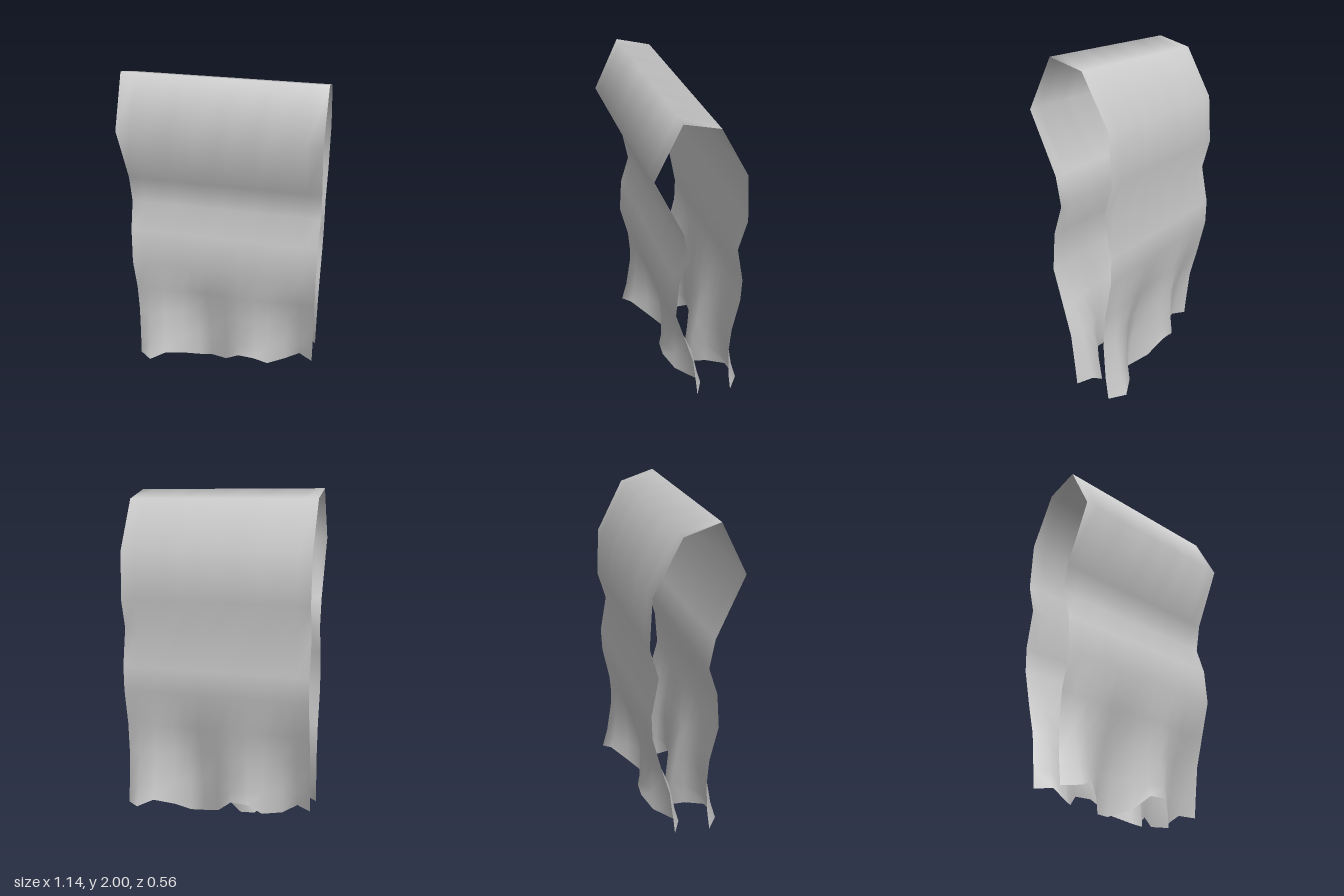
import * as THREE from 'three';

// Lower front edge of the cloth, left to right: [x, y, z]
const HEM = [
  [-0.568, 0.065, 0.13], [-0.485, 0.07, 0.2], [-0.39, 0.11, 0.163], [-0.28, 0.06, 0.075],
  [-0.2, 0, -0.005], [-0.115, 0, -0.02], [0, 0.045, 0.055], [0.095, 0.13, 0.11],
  [0.2, 0.13, 0.12], [0.28, 0.06, 0.065], [0.385, 0.04, -0.035], [0.48, 0.1, -0.035], [0.568, 0.09, 0.017],
];

// Rows between hem and straight cloth: [y, base z, share of the hem's ripple]
const RIPPLES = [[0.2, 0.016, 0.74], [0.4, 0.045, 0.43], [0.58, 0.1, 0.1]];

// Straight part of the loop, front to back over the top: [y, z]
const LOOP = [
  [0.8, 0.163], [1.02, 0.146], [1.19, 0.092], [1.36, 0.123], [1.71, 0.28], [2, 0.133],
  [1.942, -0.067], [1.646, -0.225], [1.36, -0.242], [1.18, -0.193], [0.95, -0.235], [0.8, -0.23],
];

const MIDDLE_Z = -0.0375;

// Front skirt rows from the hem upward
function skirtRows() {
  const rows = [HEM.map((p) => [...p])];
  for (const [y, base, share] of RIPPLES) {
    rows.push(HEM.map(([x, , z]) => [x, y, base + share * z]));
  }
  return rows;
}

// The back skirt is the front one turned half round
function turned(row) {
  return row.map(([x, y, z]) => [-x, y, 2 * MIDDLE_Z - z]).reverse();
}

export function createModel() {
  const front = skirtRows();
  const rows = [
    ...front,
    ...LOOP.map(([y, z]) => HEM.map(([x]) => [x, y, z])),
    ...front.map(turned).reverse(),
  ];

  // Skin the rows into one smooth sheet facing outward
  const columns = HEM.length;
  const index = [];
  for (let r = 0; r < rows.length - 1; r++) {
    for (let c = 0; c < columns - 1; c++) {
      const a = r * columns + c;
      const b = a + columns;
      index.push(a, a + 1, b + 1, a, b + 1, b);
    }
  }
  const geometry = new THREE.BufferGeometry();
  geometry.setAttribute('position', new THREE.Float32BufferAttribute(rows.flat(2), 3));
  geometry.setIndex(index);
  geometry.computeVertexNormals();

  const cloth = new THREE.Mesh(
    geometry,
    new THREE.MeshStandardMaterial({ color: 0xcccccc, side: THREE.DoubleSide }),
  );
  cloth.name = 'hangingCloth';

  const group = new THREE.Group();
  group.name = 'drapedTowel';
  group.add(cloth);
  return group;
}
